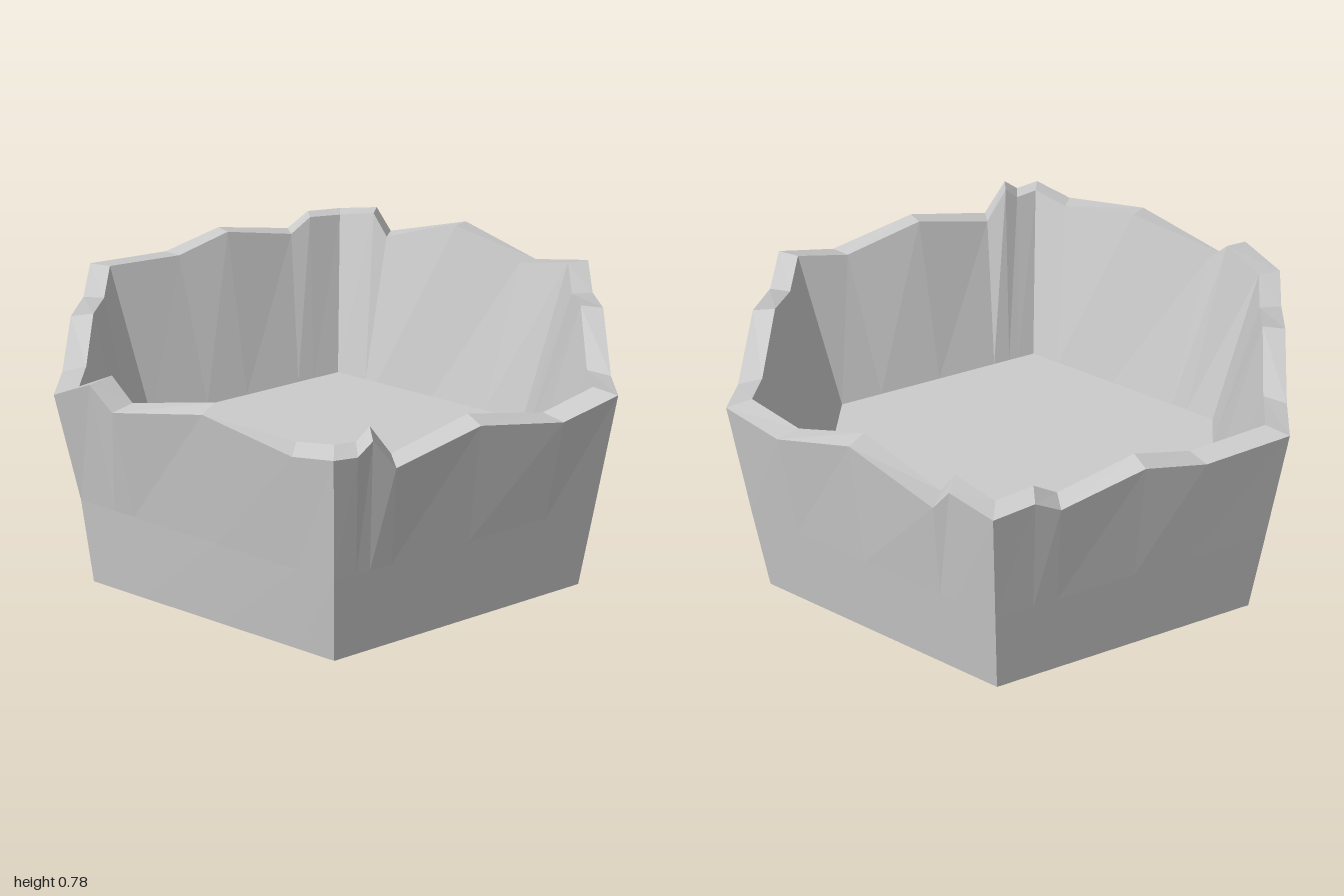
import * as THREE from 'three';

// Jagged rim: for each of the six sides, [position along side, height]
const RIM = [
  [[0, 0.73], [0.19, 0.69], [0.5, 0.775], [0.8, 0.675]],
  [[0, 0.707], [0.2, 0.665], [0.5, 0.73], [0.79, 0.665], [0.87, 0.775], [0.92, 0.735]],
  [[0, 0.745], [0.14, 0.72], [0.45, 0.775], [0.78, 0.695], [0.86, 0.77]],
  [[0, 0.70], [0.2, 0.68], [0.46, 0.755], [0.78, 0.68]],
  [[0, 0.71], [0.29, 0.695], [0.5, 0.745], [0.78, 0.685], [0.865, 0.735]],
  [[0, 0.72], [0.155, 0.755], [0.215, 0.675], [0.52, 0.775], [0.8, 0.69]],
];

const corner = (k, r) => new THREE.Vector3(
  r * Math.cos(k * Math.PI / 3), 0, r * Math.sin(k * Math.PI / 3));

// One hexagonal ring; height is a number, or a function of the rim height
function ring(radius, height, zShift = 0, dentCorner = -1, dentRadius = radius) {
  const at = (k) => corner(k, k % 6 === dentCorner ? dentRadius : radius);
  return RIM.flatMap((side, k) => side.map(([t, y]) => {
    const p = at(k).lerp(at(k + 1), t);
    p.y = typeof height === 'number' ? height : height(y);
    p.z += zShift;
    return p;
  }));
}

// Skin neighbouring rings with separate triangles so every facet stays flat
function skin(rings) {
  const points = [];
  for (let r = 0; r < rings.length - 1; r++) {
    const lower = rings[r], upper = rings[r + 1], n = lower.length;
    for (let i = 0; i < n; i++) {
      const j = (i + 1) % n;
      if (!lower[i].equals(lower[j])) points.push(lower[i], upper[i], lower[j]);
      if (!upper[i].equals(upper[j])) points.push(lower[j], upper[i], upper[j]);
    }
  }
  const geometry = new THREE.BufferGeometry().setFromPoints(points);
  geometry.computeVertexNormals();
  return geometry;
}

export function createModel() {
  const group = new THREE.Group();
  group.name = 'brokenHexagonalBasin';
  const material = new THREE.MeshStandardMaterial({ color: 0xcccccc, flatShading: true });
  const add = (name, rings) => {
    const mesh = new THREE.Mesh(skin(rings), material);
    mesh.name = name;
    group.add(mesh);
  };

  const foot = ring(0.905, 0);
  const outerRim = ring(1, (y) => y);
  const innerRim = ring(0.915, (y) => y + 0.008);
  const floorEdge = ring(0.76, 0.16, -0.01);

  add('base', [ring(0, 0), foot]);
  add('outerWall', [foot, ring(0.947, 0.31, 0, 3, 0.932), outerRim]);
  add('jaggedRim', [outerRim, innerRim]);
  add('innerWall', [innerRim, floorEdge]);
  add('floor', [floorEdge, ring(0, 0.16, -0.01)]);
  return group;
}
